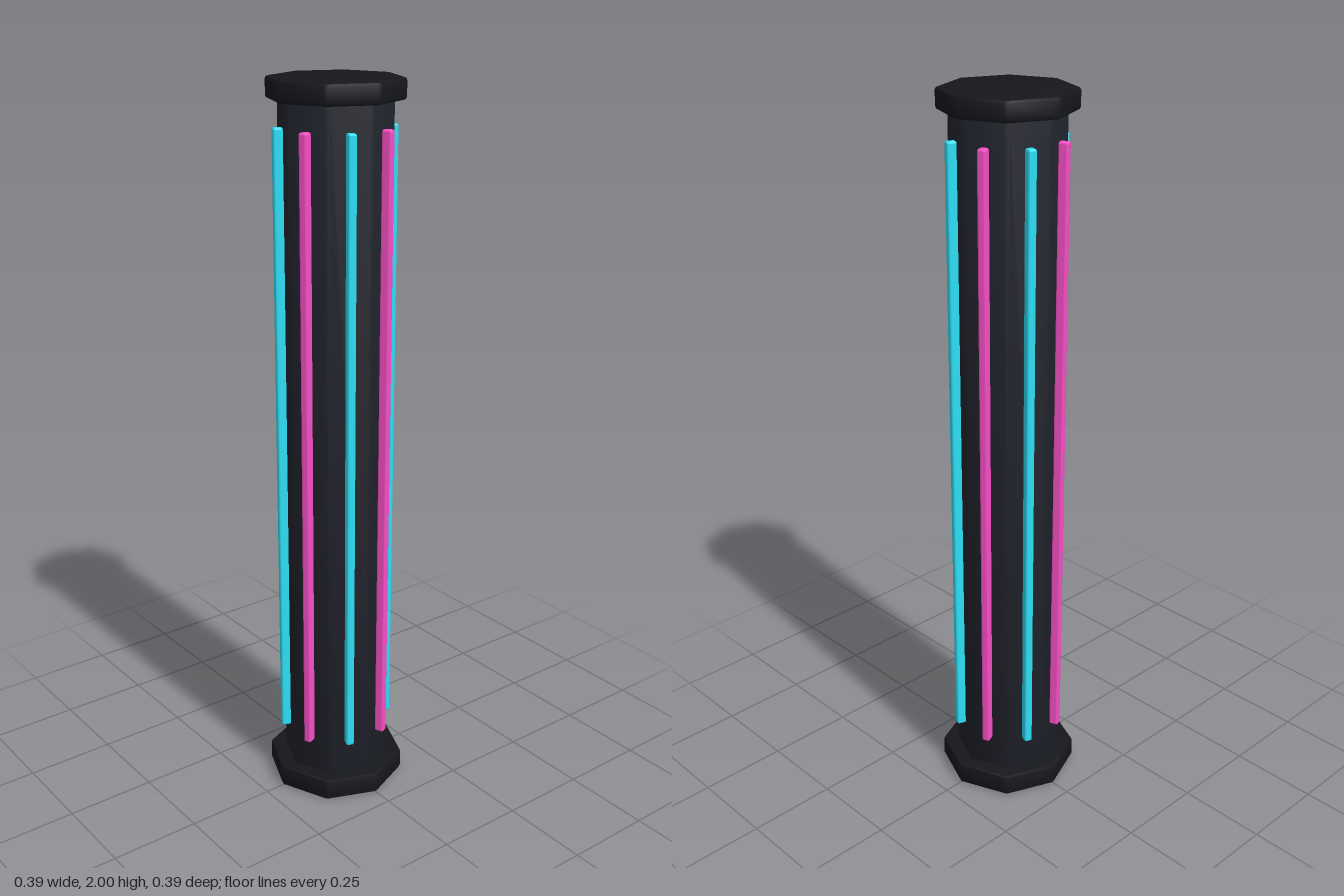
import * as THREE from 'three';
import { toCreasedNormals } from 'three/addons/utils/BufferGeometryUtils.js';
import { RoundedBoxGeometry } from 'three/addons/geometries/RoundedBoxGeometry.js';

const SIDES = 8;
const HALF = Math.PI / SIDES;

const material = (color) => new THREE.MeshStandardMaterial({ color });

// Octagon with a corner on each axis and softly rounded corners
function octagon(radius, round) {
  const shape = new THREE.Shape();
  const d = radius - round / Math.cos(HALF);
  for (let i = 0; i < SIDES; i++) {
    const a = i * 2 * HALF;
    shape.absarc(d * Math.cos(a), d * Math.sin(a), round, a - HALF, a + HALF, false);
  }
  shape.closePath();
  return shape;
}

// Upright octagonal prism from y0 to y1 with bevelled rims
function prism(name, radius, y0, y1, bevel, mat) {
  const geometry = new THREE.ExtrudeGeometry(octagon(radius, 0.015), {
    depth: y1 - y0 - 2 * bevel,
    bevelEnabled: true,
    bevelThickness: bevel,
    bevelSize: bevel,
    bevelOffset: -bevel,
    bevelSegments: 2,
    curveSegments: 4,
  });
  geometry.rotateX(-Math.PI / 2).translate(0, y0 + bevel, 0);
  const mesh = new THREE.Mesh(toCreasedNormals(geometry, 0.55), mat);
  mesh.name = name;
  return mesh;
}

export function createModel() {
  const model = new THREE.Group();
  model.name = 'lightPillar';

  const shaftMat = material(0x20222b);
  const capMat = material(0x15171b);
  const cyan = material(0x2ee0f8);
  const pink = material(0xf94fc8);

  // Base, shaft and top cap
  model.add(
    prism('base', 0.195, 0, 0.062, 0.008, capMat),
    prism('shaft', 0.15, 0.04, 1.96, 0.004, shaftMat),
    prism('topCap', 0.18, 1.945, 2, 0.008, capMat),
  );

  // One light strip on the middle of every face, alternating colours
  const strips = new THREE.Group();
  strips.name = 'lightStrips';
  const stripGeometry = new RoundedBoxGeometry(0.023, 1.72, 0.028, 2, 0.006);
  for (let i = 0; i < SIDES; i++) {
    const a = HALF + i * 2 * HALF;
    const strip = new THREE.Mesh(stripGeometry, i % 2 ? cyan : pink);
    strip.name = i % 2 ? 'cyanStrip' : 'pinkStrip';
    strip.position.set(0.15 * Math.sin(a), 1.02, 0.15 * Math.cos(a));
    strip.rotation.y = a;
    strips.add(strip);
  }
  model.add(strips);

  return model;
}
